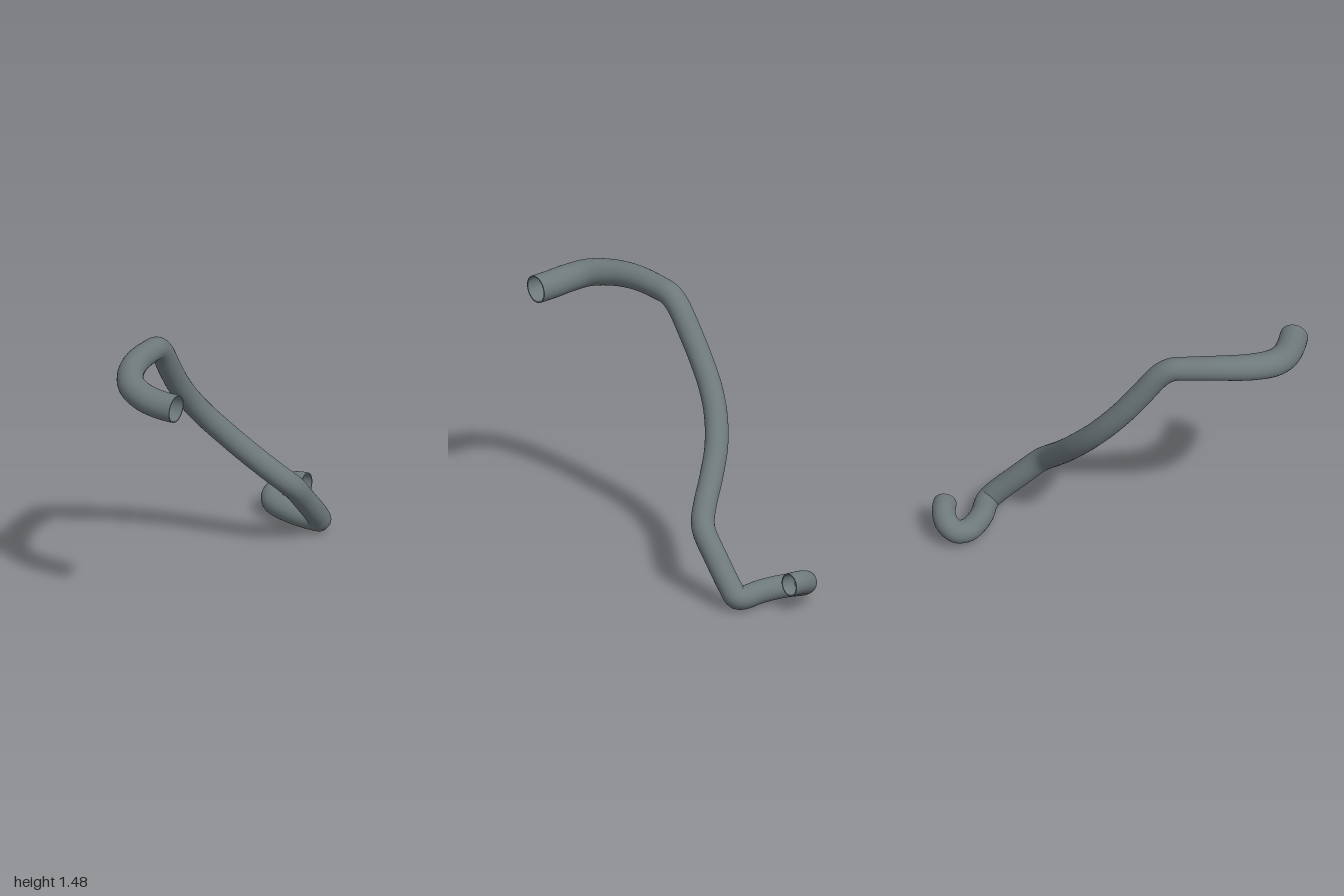
import * as THREE from 'three';

const SEGMENTS = 260, SIDES = 32;
const START_RADIUS = 0.077, RADIUS = 0.0635, WALL = 0.007;

// Centre line, from the wide upper end to the hooked lower end
const path = new THREE.CatmullRomCurve3([
  [0.26, 1.345, 0.922], [0.16, 1.348, 0.92], [0.05, 1.363, 0.905], [-0.05, 1.385, 0.855],
  [-0.125, 1.402, 0.745], [-0.17, 1.41, 0.6], [-0.192, 1.4, 0.43], [-0.198, 1.387, 0.34],
  [-0.202, 1.345, 0.277], [-0.21, 1.2, 0.168], [-0.21, 1.08, 0.08], [-0.195, 0.96, -0.015],
  [-0.155, 0.84, -0.11], [-0.08, 0.71, -0.208], [0.02, 0.585, -0.29], [0.12, 0.475, -0.362],
  [0.175, 0.41, -0.412], [0.198, 0.365, -0.455], [0.205, 0.25, -0.565], [0.206, 0.12, -0.69],
  [0.198, 0.075, -0.73], [0.165, 0.067, -0.742], [0.05, 0.073, -0.744], [-0.06, 0.08, -0.768],
  [-0.125, 0.086, -0.8], [-0.157, 0.1, -0.85], [-0.14, 0.13, -0.9], [-0.08, 0.154, -0.93],
  [-0.03, 0.161, -0.937], [0, 0.1625, -0.9375],
].map(p => new THREE.Vector3(...p)), false, 'centripetal');

// The hose narrows over the first part of its length
function radiusAt(t) {
  return THREE.MathUtils.lerp(START_RADIUS, RADIUS, THREE.MathUtils.smoothstep(t, 0.03, 0.28));
}

// Tube of unit radius, with each ring scaled about the centre line
function taperedTube(inset) {
  const geometry = new THREE.TubeGeometry(path, SEGMENTS, 1, SIDES, false);
  const position = geometry.attributes.position;
  const vertex = new THREE.Vector3();
  for (let i = 0; i <= SEGMENTS; i++) {
    const centre = path.getPointAt(i / SEGMENTS);
    const radius = radiusAt(i / SEGMENTS) - inset;
    for (let j = 0; j <= SIDES; j++) {
      const k = i * (SIDES + 1) + j;
      vertex.fromBufferAttribute(position, k).sub(centre).multiplyScalar(radius).add(centre);
      position.setXYZ(k, vertex.x, vertex.y, vertex.z);
    }
  }
  return geometry;
}

export function createModel() {
  const group = new THREE.Group();
  group.name = 'hose';
  const rubber = new THREE.MeshStandardMaterial({ color: 0x6e797c, side: THREE.DoubleSide });
  rubber.name = 'grey rubber';

  function add(name, geometry) {
    const mesh = new THREE.Mesh(geometry, rubber);
    mesh.name = name;
    group.add(mesh);
    return mesh;
  }

  add('outerWall', taperedTube(0));
  add('innerWall', taperedTube(WALL));

  // Flat rims closing the wall thickness at both open ends
  for (const [name, t, sign] of [['upperRim', 0, -1], ['lowerRim', 1, 1]]) {
    const radius = radiusAt(t);
    const rim = add(name, new THREE.RingGeometry(radius - WALL, radius, SIDES));
    const centre = path.getPointAt(t);
    rim.position.copy(centre);
    rim.lookAt(centre.clone().addScaledVector(path.getTangentAt(t), sign));
  }
  return group;
}
